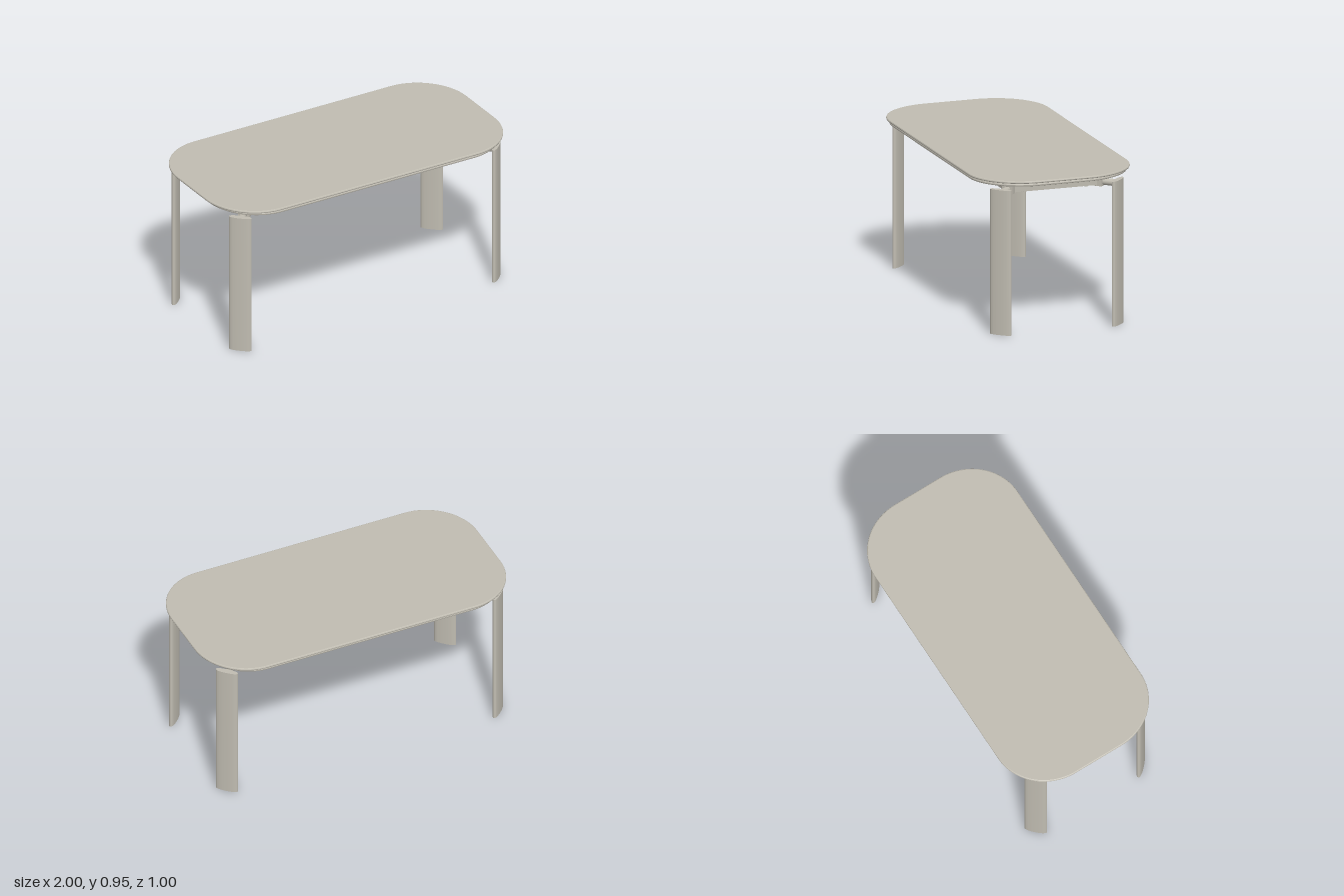
import * as THREE from 'three';
import { toCreasedNormals } from 'three/addons/utils/BufferGeometryUtils.js';

const finish = new THREE.MeshStandardMaterial({ color: 0xc0bcb1 });
finish.name = 'warm grey';

function add(parent, name, geometry, x = 0, y = 0, z = 0) {
  const mesh = new THREE.Mesh(geometry, finish);
  mesh.name = name;
  mesh.position.set(x, y, z);
  parent.add(mesh);
  return mesh;
}

// Box given by its centre and the heights of its bottom and top
function block(parent, name, w, d, x, z, y0, y1) {
  return add(parent, name, new THREE.BoxGeometry(w, y1 - y0, d), x, (y0 + y1) / 2, z);
}

// Horizontal slab with broad elliptical corners and an optional rounded rim
function slab(hx, hz, rx, rz, height, rim) {
  const s = new THREE.Shape();
  const a = hx - rx, b = hz - rz, q = Math.PI / 2;
  s.absellipse(a, b, rx, rz, 0, q);
  s.absellipse(-a, b, rx, rz, q, 2 * q);
  s.absellipse(-a, -b, rx, rz, 2 * q, 3 * q);
  s.absellipse(a, -b, rx, rz, 3 * q, 4 * q);
  s.closePath();
  const g = new THREE.ExtrudeGeometry(s, {
    depth: height - 2 * rim, curveSegments: 24, bevelEnabled: rim > 0,
    bevelThickness: rim, bevelSize: rim, bevelOffset: -rim, bevelSegments: 2,
  });
  g.rotateX(-Math.PI / 2).translate(0, rim, 0);
  return toCreasedNormals(g, 0.3);
}

// Flat, softly bulging leg: a squared-off ellipse pulled straight up
function legGeometry(width, thickness, height) {
  const pts = [];
  for (let i = 0; i < 48; i++) {
    const t = (i / 48) * Math.PI * 2, c = Math.cos(t), s = Math.sin(t);
    pts.push(new THREE.Vector2(
      Math.sign(c) * Math.abs(c) ** 0.85 * width / 2,
      Math.sign(s) * Math.abs(s) ** 0.85 * thickness / 2));
  }
  const g = new THREE.ExtrudeGeometry(new THREE.Shape(pts), { depth: height, bevelEnabled: false });
  g.rotateX(-Math.PI / 2);
  return toCreasedNormals(g, 0.7);
}

export function createModel() {
  const table = new THREE.Group();
  table.name = 'table';

  // Two stacked slabs with a shadow gap between them
  add(table, 'tableTop', slab(1, 0.5, 0.32, 0.34, 0.016, 0.007), 0, 0.932, 0);
  add(table, 'gapSpacer', slab(0.96, 0.47, 0.3, 0.32, 0.008, 0), 0, 0.925, 0);
  add(table, 'lowerSlab', slab(0.975, 0.486, 0.31, 0.33, 0.018, 0.007), 0, 0.909, 0);

  // Support frame
  const frame = new THREE.Group();
  frame.name = 'frame';
  table.add(frame);
  for (const s of [-1, 1]) {
    block(frame, 'longRail', 1.6, 0.022, 0, s * 0.284, 0.84, 0.91);
    block(frame, 'endRail', 0.022, 0.57, s * 0.799, 0, 0.84, 0.91);
  }
  block(frame, 'crossBeam', 0.024, 0.55, 0, 0, 0.84, 0.91);

  // Legs and their corner fittings, standing across the diagonals
  const legShape = legGeometry(0.138, 0.036, 0.884);
  for (const sx of [-1, 1]) for (const sz of [-1, 1]) {
    const corner = new THREE.Group();
    corner.name = 'legAssembly';
    corner.position.set(sx * 0.885, 0, sz * 0.368);
    corner.rotation.y = Math.atan2(sx, sz);
    table.add(corner);
    add(corner, 'leg', legShape);
    block(corner, 'cornerBracket', 0.07, 0.03, 0, -0.105, 0.838, 0.91);
    const arm = new THREE.CylinderGeometry(0.021, 0.021, 0.1, 20).rotateX(Math.PI / 2);
    add(corner, 'connectingArm', arm, 0, 0.862, -0.055);

    // Thin fixing plates and screw heads under the frame
    block(frame, 'fixingPlate', 0.05, 0.022, sx * 0.785, sz * 0.284, 0.835, 0.84);
    block(frame, 'fixingPlate', 0.022, 0.04, sx * 0.799, sz * 0.275, 0.835, 0.84);
    const screw = new THREE.CylinderGeometry(0.008, 0.008, 0.005, 12);
    add(frame, 'screwHead', screw, sx * 0.68, 0.8375, sz * 0.284);
    add(frame, 'screwHead', screw, sx * 0.799, 0.8375, sz * 0.2);
  }
  return table;
}
